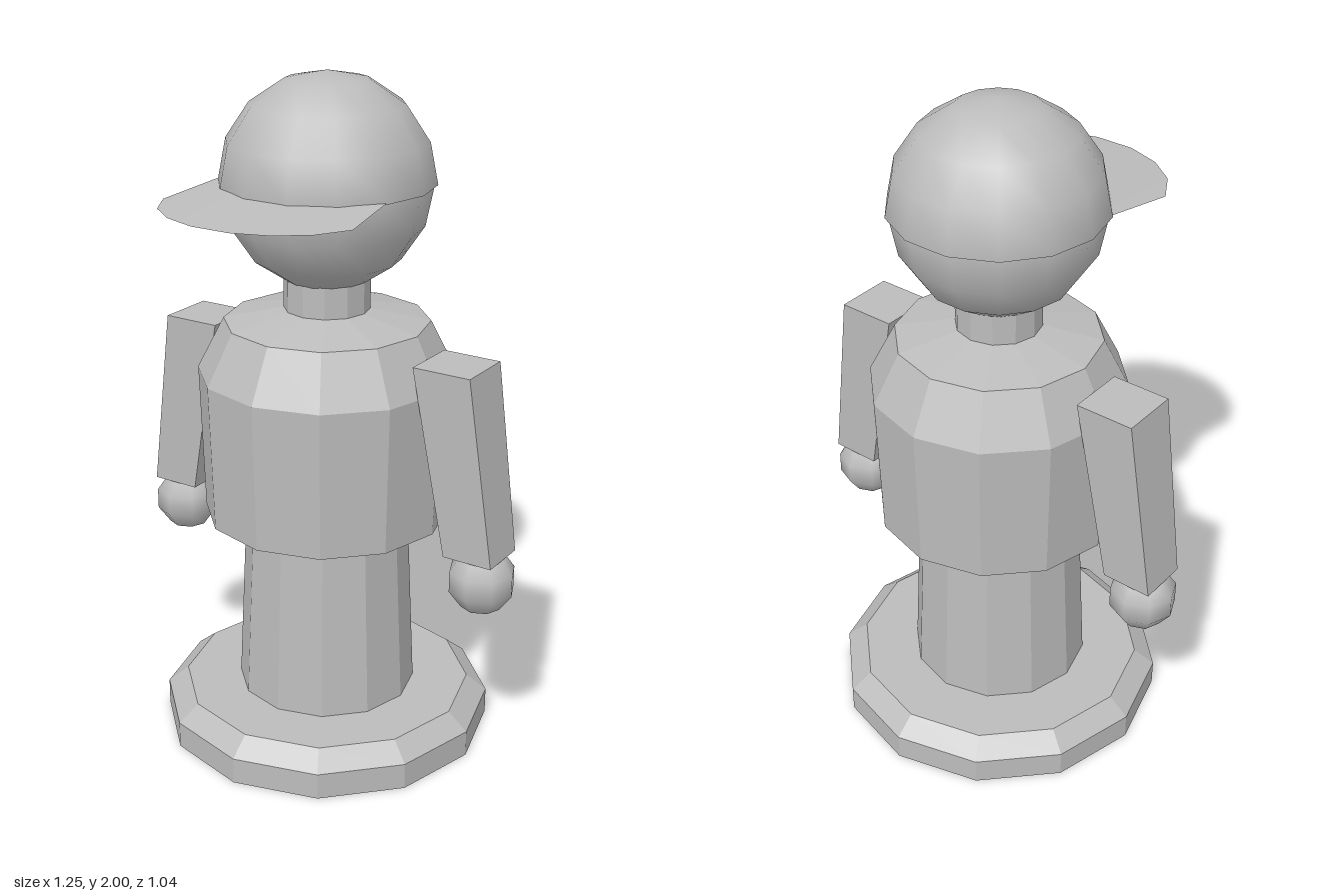
import * as THREE from 'three';

const AXIS_Z = -0.025; // body axis sits slightly behind the middle because of the brim

function addMesh(parent, name, geometry, material) {
  const mesh = new THREE.Mesh(geometry, material);
  mesh.name = name;
  parent.add(mesh);
  return mesh;
}

// Turned twelve-sided section
function turned(points) {
  const g = new THREE.LatheGeometry(points.map(([r, y]) => new THREE.Vector2(r, y)), 12).toNonIndexed();
  g.computeVertexNormals();
  return g;
}

// Box that tapers and leans outwards from shoulder to wrist
function armGeometry(side) {
  const g = new THREE.BoxGeometry(1, 1, 1);
  const p = g.attributes.position;
  for (let i = 0; i < p.count; i++) {
    const top = p.getY(i) > 0;
    const width = top ? 0.178 : 0.152;
    p.setXYZ(i, side * (top ? 0.427 : 0.519) + p.getX(i) * width, top ? 1.235 : 0.68, p.getZ(i) * width);
  }
  g.computeVertexNormals();
  return g;
}

// Thin sloping strip between the cap's edge and a rounded outer edge
function brimGeometry() {
  const half = [[0.305, 0.325], [0.25, 0.42], [0.165, 0.485], [0.06, 0.52]];
  const outer = [...half, ...half.map(([x, z]) => [-x, z]).reverse()];
  const positions = [], index = [];
  outer.forEach(([x, z], i) => {
    const a = Math.PI * (1 / 7 + (i / 7) * (5 / 7));
    positions.push(Math.cos(a) * 0.305, 1.697, Math.sin(a) * 0.3 + AXIS_Z, x, 1.675, z);
    if (i < outer.length - 1) {
      const k = i * 2;
      index.push(k, k + 2, k + 1, k + 1, k + 2, k + 3);
    }
  });
  const g = new THREE.BufferGeometry();
  g.setAttribute('position', new THREE.Float32BufferAttribute(positions, 3));
  g.setIndex(index);
  g.computeVertexNormals();
  return g;
}

export function createModel() {
  const model = new THREE.Group();
  model.name = 'figurine';
  const grey = new THREE.MeshStandardMaterial({ color: 0xbcbcbc, side: THREE.DoubleSide });
  grey.name = 'plain grey';

  const body = new THREE.Group();
  body.name = 'body';
  body.position.z = AXIS_Z;
  model.add(body);

  // Hollow base, column, torso and neck
  addMesh(body, 'base', turned([[0.5, 0], [0.5, 0.08], [0.438, 0.13], [0.27, 0.13]]), grey);
  addMesh(body, 'column', turned([[0.27, 0.13], [0.245, 0.66]]), grey);
  addMesh(body, 'torso', turned([[0.245, 0.66], [0.365, 0.7], [0.378, 1.14], [0.3, 1.292], [0.125, 1.328]]), grey);
  addMesh(body, 'neck', turned([[0.125, 1.328], [0.125, 1.42]]), grey);

  // Head and cap
  addMesh(body, 'head', new THREE.SphereGeometry(0.3, 14, 8), grey).position.y = 1.69;
  addMesh(body, 'cap', new THREE.SphereGeometry(0.31, 14, 4, 0, Math.PI * 2, 0, Math.PI / 2), grey).position.y = 1.693;
  addMesh(model, 'capBrim', brimGeometry(), grey);

  // Arms and hands
  for (const side of [1, -1]) {
    const label = side > 0 ? 'left' : 'right';
    addMesh(body, label + 'Arm', armGeometry(side), grey);
    addMesh(body, label + 'Hand', new THREE.SphereGeometry(0.102, 8, 5), grey).position.set(side * 0.53, 0.602, 0);
  }
  return model;
}
